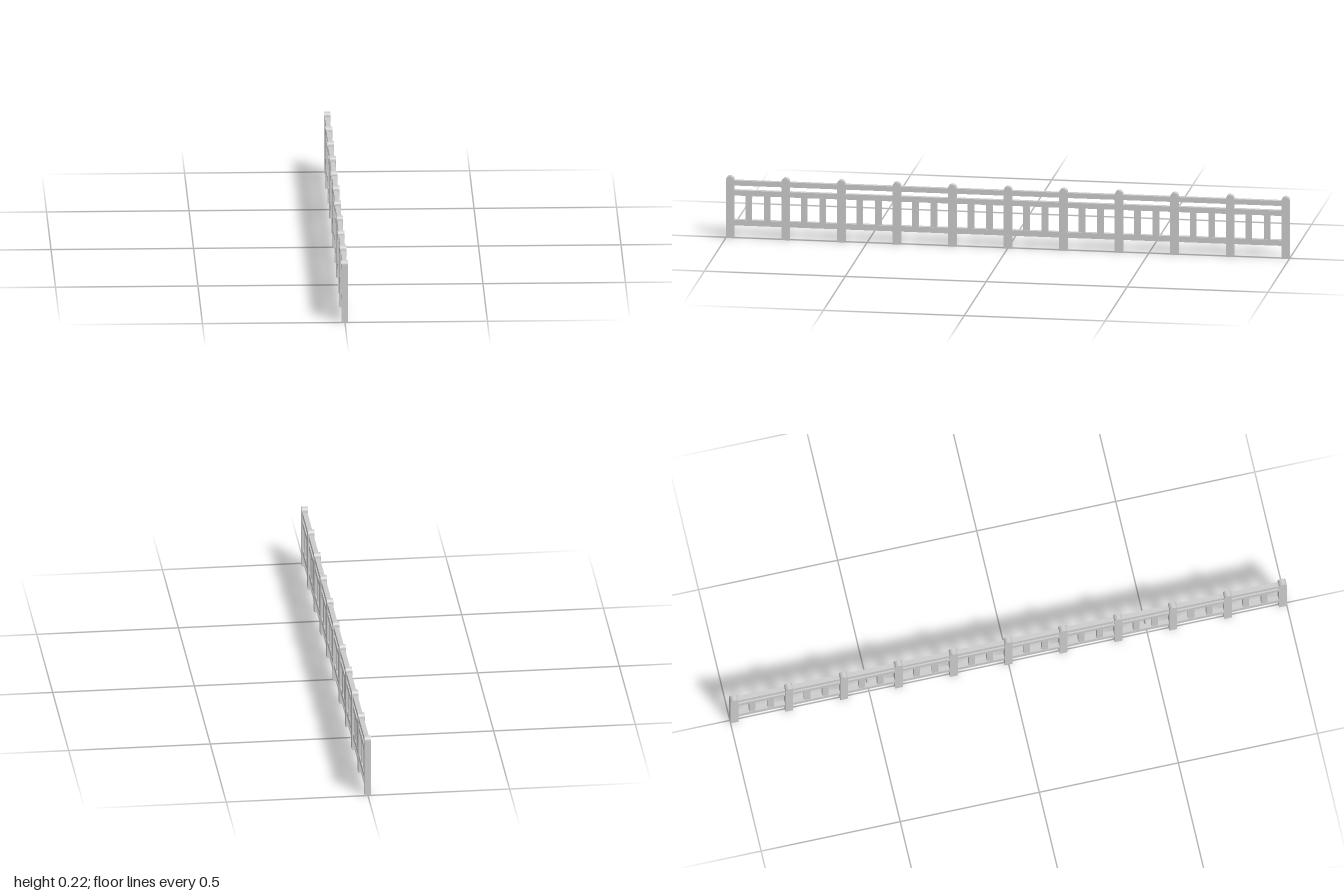
import * as THREE from 'three';

const material = new THREE.MeshStandardMaterial({ color: 0xcccccc, flatShading: true });

export function createModel() {
  const fence = new THREE.Group();
  fence.name = 'fence';

  const add = (name, geometry, x, y, z) => {
    const mesh = new THREE.Mesh(geometry, material);
    mesh.name = name;
    mesh.position.set(x, y, z);
    fence.add(mesh);
    return mesh;
  };

  const bays = 10, half = 0.014, height = 0.223, postWidth = 0.023;
  const spacing = (2 - 2 * half) / bays;
  const firstZ = -1 + half;

  // Post outline: straight sides with a rounded top, extruded across the fence
  const outline = new THREE.Shape();
  outline.moveTo(-half, 0);
  outline.lineTo(half, 0);
  outline.lineTo(half, height - half);
  outline.absarc(0, height - half, half, 0, Math.PI, false);
  outline.lineTo(-half, 0);
  const postGeometry = new THREE.ExtrudeGeometry(outline, {
    depth: postWidth, bevelEnabled: false, curveSegments: 8,
  });
  postGeometry.translate(0, 0, -postWidth / 2);
  postGeometry.rotateY(Math.PI / 2);

  for (let i = 0; i <= bays; i++) add('post', postGeometry, 0, 0, firstZ + i * spacing);

  // Long horizontal rails: [name, bottom, top, thickness]
  const rails = [
    ['handRail', 0.19, 0.208, 0.017],
    ['upperRail', 0.154, 0.173, 0.017],
    ['lowerRail', 0.046, 0.066, 0.017],
  ];
  for (const [name, bottom, top, thickness] of rails) {
    const geometry = new THREE.BoxGeometry(thickness, top - bottom, 2 - 2 * half);
    add(name, geometry, 0, (bottom + top) / 2, 0);
  }

  // Two balusters in each bay, between the lower and upper rails
  const balusterGeometry = new THREE.BoxGeometry(0.014, 0.092, 0.022);
  for (let i = 0; i < bays; i++) {
    for (const t of [1 / 3, 2 / 3]) {
      add('baluster', balusterGeometry, 0, 0.11, firstZ + (i + t) * spacing);
    }
  }

  return fence;
}
